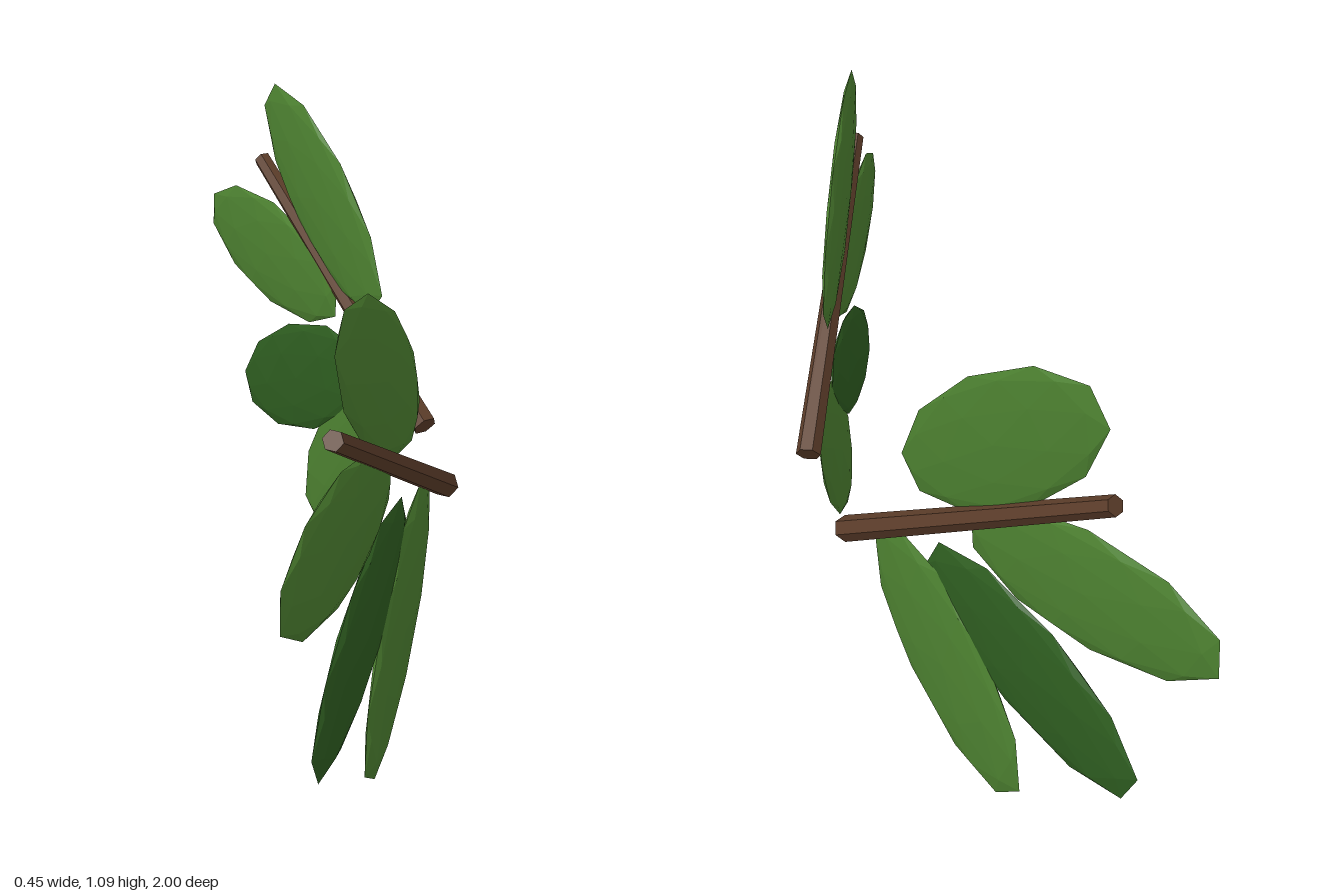
import * as THREE from 'three';

const paint = (name, color) => {
  const m = new THREE.MeshStandardMaterial({ color, flatShading: true });
  m.name = name;
  return m;
};

// Low-poly leaf: a flattened icosphere, long in x, thin in y
function leafGeometry() {
  const g = new THREE.IcosahedronGeometry(1, 1);
  g.rotateZ(Math.atan(2 / (1 + Math.sqrt(5)))); // pole to +y, ten-sided rim
  g.scale(0.316, 0.016, 0.133);
  g.computeVertexNormals();
  return g;
}

// name, centre height, centre z, angle above horizontal, sideways offset, dark
const LEAVES = [
  ['upperLeaf', 0.868, 0.513, 38.6, -0.012, false],
  ['outerLeaf', 0.658, 0.727, 4.7, -0.012, false],
  ['darkLeaf', 0.38, 0.597, -26, -0.016, true],
  ['lowerLeaf', 0.264, 0.402, -52.7, -0.009, false],
];

export function createModel() {
  const model = new THREE.Group();
  model.name = 'leafyBranches';
  const green = paint('leafGreen', 0x4c8030);
  const darkGreen = paint('darkLeafGreen', 0x2e5d20);
  const bark = paint('barkBrown', 0x5c3d2a);
  const leaf = leafGeometry();
  const up = new THREE.Vector3(0, 1, 0);

  for (const s of [1, -1]) {
    const spray = new THREE.Group();
    spray.name = s > 0 ? 'frontBranch' : 'backBranch';

    // Tapered six-sided stem
    const a = new THREE.Vector3(0.204, 0.45, 0.142 * s);
    const b = new THREE.Vector3(-0.104, 0.882, 0.778 * s);
    const dir = b.clone().sub(a);
    const stem = new THREE.Mesh(new THREE.CylinderGeometry(0.02, 0.028, dir.length(), 6), bark);
    stem.name = 'stem';
    stem.position.copy(a).add(b).multiplyScalar(0.5);
    stem.quaternion.setFromUnitVectors(up, dir.normalize());
    spray.add(stem);

    // Leaves fanned out in the upright plane of the stem
    const along = new THREE.Vector3(-0.425, 0, 0.905 * s).normalize();
    const normal = new THREE.Vector3(0.905, 0, 0.425 * s).normalize();
    for (const [name, y, z, deg, offset, dark] of LEAVES) {
      const t = THREE.MathUtils.degToRad(deg);
      const axis = along.clone().multiplyScalar(Math.cos(t)).addScaledVector(up, Math.sin(t));
      const across = axis.clone().cross(normal);
      const mesh = new THREE.Mesh(leaf, dark ? darkGreen : green);
      mesh.name = name;
      mesh.quaternion.setFromRotationMatrix(new THREE.Matrix4().makeBasis(axis, normal, across));
      mesh.position.set(0.2 - 0.47 * (z - 0.14) + offset, y, z * s);
      spray.add(mesh);
    }
    model.add(spray);
  }
  return model;
}
